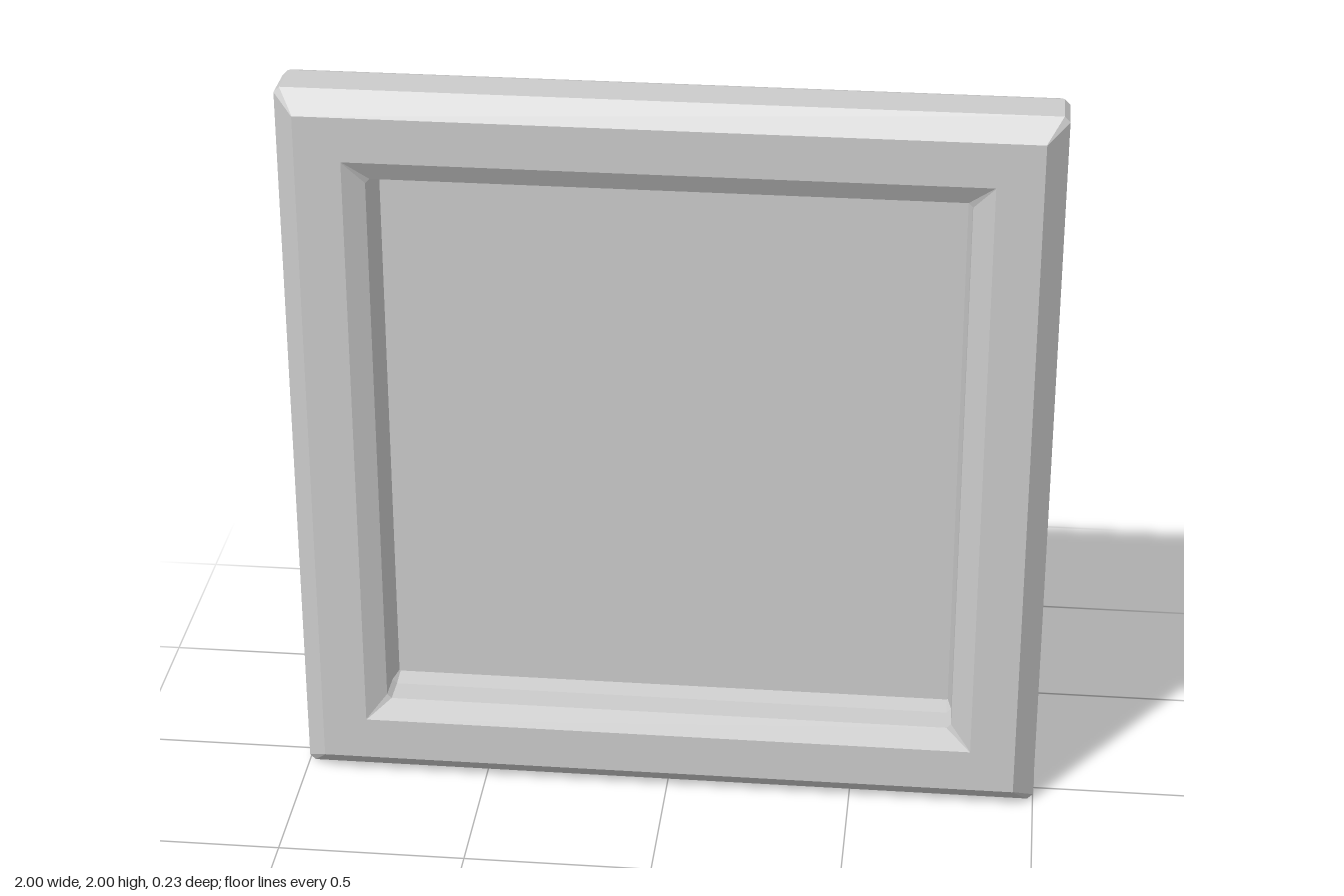
import * as THREE from 'three';

// Square ring of eight points with clipped corners: half size h, corner cut c, depth z
function ring(h, c, z) {
  const k = h - c;
  return [[h, -k], [h, k], [k, h], [-k, h], [-h, k], [-h, -k], [-k, -h], [k, -h]]
    .map(([x, y]) => new THREE.Vector3(x, y + 1, z));
}

// Faceted surface through successive rings; optionally closed by flat caps
function loft(sections, capStart, capEnd) {
  const rings = sections.map((s) => ring(...s));
  const points = [];
  for (let r = 0; r < rings.length - 1; r++) {
    const a = rings[r], b = rings[r + 1];
    for (let i = 0; i < 8; i++) {
      const j = (i + 1) % 8;
      points.push(a[i], a[j], b[j], a[i], b[j], b[i]);
    }
  }
  const first = rings[0], last = rings[rings.length - 1];
  for (let i = 1; i < 7; i++) {
    if (capStart) points.push(first[0], first[i + 1], first[i]);
    if (capEnd) points.push(last[0], last[i], last[i + 1]);
  }
  const geometry = new THREE.BufferGeometry().setFromPoints(points);
  geometry.computeVertexNormals();
  return geometry;
}

export function createModel() {
  const group = new THREE.Group();
  group.name = 'framedPanel';
  const material = new THREE.MeshStandardMaterial({ color: 0xcccccc, flatShading: true });
  const add = (name, geometry) => {
    const mesh = new THREE.Mesh(geometry, material);
    mesh.name = name;
    group.add(mesh);
  };

  // Flat back, tapered rear edge, straight sides and front bevel
  add('outerFrame', loft([
    [0.98, 0.001, -0.115], [1, 0.015, -0.06], [1, 0.015, 0.057], [0.945, 0.001, 0.115],
  ], true, false));

  // Flat front border and shallow slope toward the opening
  add('frontBorder', loft([
    [0.945, 0.001, 0.115], [0.825, 0.001, 0.115], [0.77, 0.012, 0.085],
  ], false, false));

  // Walls of the opening, closed by the recessed panel
  add('recessedPanel', loft([
    [0.77, 0.012, 0.085], [0.768, 0.012, 0.01], [0.757, 0.003, -0.04],
  ], false, true));

  return group;
}
